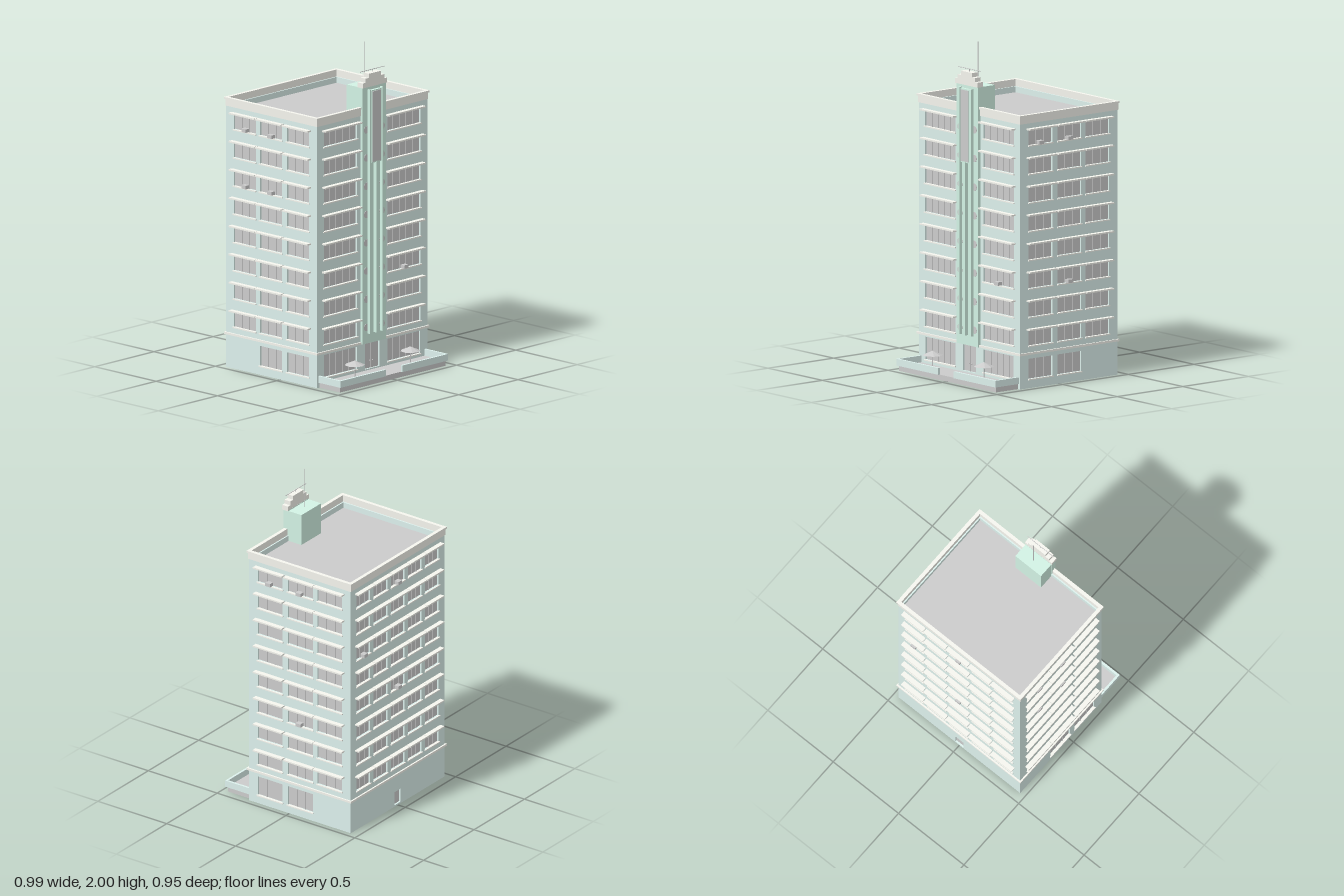
import * as THREE from 'three';

const mat = (color) => new THREE.MeshStandardMaterial({ color });
const grey = mat(0xcccccc);
const wallMat = mat(0xdcf0ec);
const towerMat = mat(0xd2f2e4);
const trimMat = mat(0xf5f5ee);

const W = 0.93, Z0 = -0.445, Z1 = 0.295, H = 1.59, T = 0.02;
const ZC = (Z0 + Z1) / 2, D = Z1 - Z0;
const FLOORS = 8, PITCH = 0.1707, TOP = 1.545;

function add(parent, name, geometry, material, x = 0, y = 0, z = 0) {
  const mesh = new THREE.Mesh(geometry, material);
  mesh.name = name;
  mesh.position.set(x, y, z);
  parent.add(mesh);
  return mesh;
}

// Box given by its min and max on each axis
function box(parent, name, x0, x1, y0, y1, z0, z1, material) {
  return add(parent, name, new THREE.BoxGeometry(x1 - x0, y1 - y0, z1 - z0), material,
    (x0 + x1) / 2, (y0 + y1) / 2, (z0 + z1) / 2);
}

function rectPath(path, x0, x1, y0, y1) {
  path.moveTo(x0, y0);
  path.lineTo(x1, y0);
  path.lineTo(x1, y1);
  path.lineTo(x0, y1);
  path.closePath();
  return path;
}

// Horizontal rectangular ring around the building, from y0 to y1
function ring(parent, name, out, inn, y0, y1, material) {
  const rect = (p, o) => rectPath(p, -W / 2 - o, W / 2 + o, -D / 2 - o, D / 2 + o);
  const shape = rect(new THREE.Shape(), out);
  shape.holes.push(rect(new THREE.Path(), inn));
  const g = new THREE.ExtrudeGeometry(shape, { depth: y1 - y0, bevelEnabled: false });
  g.rotateX(-Math.PI / 2);
  add(parent, name, g, material, 0, y0, ZC);
}

// One wall with outer face at local z = 0; columns of windows [centre, width] on all upper floors
function facade(parent, name, width, columns, ground, panes, units) {
  const wall = new THREE.Group();
  wall.name = name;
  parent.add(wall);
  const shape = rectPath(new THREE.Shape(), -width / 2, width / 2, 0, H);
  const opening = (x0, x1, y0, y1, n, label) => {
    shape.holes.push(rectPath(new THREE.Path(), x0, x1, y0, y1));
    box(wall, label, x0, x1, y0, y1, -0.016, -0.011, grey);
    for (let k = 1; k < n; k++) {
      const x = x0 + (x1 - x0) * k / n;
      box(wall, 'mullion', x - 0.002, x + 0.002, y0, y1, -0.011, -0.007, grey);
    }
  };
  for (let f = 0; f < FLOORS; f++) {
    const y = TOP - f * PITCH;
    for (const [c, w] of columns) {
      const a = c - w / 2, b = c + w / 2;
      opening(a, b, y - 0.097, y - 0.008, panes, 'window');
      box(wall, 'sunLedge', a - 0.015, b + 0.015, y - 0.004, y + 0.005, -0.005, 0.03, trimMat);
      box(wall, 'windowSill', a - 0.005, b + 0.005, y - 0.104, y - 0.097, -0.01, 0.008, trimMat);
    }
  }
  for (const [a, b, y0, y1, n, label] of ground) {
    opening(a, b, y0, y1, n, label);
    if (label === 'shopWindow') box(wall, 'shopSill', a - 0.005, b + 0.005, y0 - 0.007, y0, -0.01, 0.008, trimMat);
  }
  // Air conditioners: [x, floor counted from the top]
  for (const [x, f] of units) {
    const y = TOP - f * PITCH - 0.097;
    box(wall, 'airConditioner', x - 0.018, x + 0.018, y, y + 0.021, -0.012, 0.02, grey);
  }
  add(wall, 'wallPanel', new THREE.ExtrudeGeometry(shape, { depth: T, bevelEnabled: false }), wallMat, 0, 0, -T);
  return wall;
}

function buildWalls(root) {
  const front = facade(root, 'frontWall', W, [[-0.268, 0.28], [0.268, 0.28]], [
    [-0.405, -0.13, 0.055, 0.19, 5, 'shopWindow'],
    [0.13, 0.405, 0.055, 0.19, 5, 'shopWindow'],
    [-0.06, 0.06, 0.04, 0.195, 2, 'frontDoor'],
  ], 5, [[0.268, 5]]);
  front.position.z = Z1;
  const knob = new THREE.SphereGeometry(0.004, 8, 6);
  for (const s of [-1, 1]) add(front, 'doorKnob', knob, grey, s * 0.012, 0.085, -0.008);

  const back = facade(root, 'backWall', W, [-2, -1, 0, 1, 2].map((i) => [i * 0.17, 0.135]),
    [[-0.03, 0.03, 0.01, 0.095, 1, 'backDoor']], 3, [[0, 0], [-0.34, 2], [0, 4]]);
  back.position.z = Z0;
  back.rotation.y = Math.PI;

  for (const s of [1, -1]) {
    const local = (z) => -s * (z - ZC);
    const cols = [0.14, -0.08, -0.293].map((z) => [local(z), 0.18]);
    const ground = cols.slice(0, 2).map(([c, w]) => [c - w / 2, c + w / 2, 0.055, 0.175, 3, 'shopWindow']);
    const units = s > 0
      ? [[local(0.145), 0], [local(-0.075), 0], [local(-0.075), 5]]
      : [[local(-0.285), 0], [local(-0.075), 0], [local(-0.285), 2], [local(-0.075), 2]];
    const side = facade(root, s > 0 ? 'leftWall' : 'rightWall', D - 2 * T, cols, ground, 3, units);
    side.position.set(s * W / 2, 0, ZC);
    side.rotation.y = s * Math.PI / 2;
  }
}

function buildRoof(root) {
  box(root, 'roof', -W / 2 + 0.01, W / 2 - 0.01, 1.54, 1.555, Z0 + 0.01, Z1 - 0.01, grey);
  ring(root, 'parapet', 0.004, -0.012, 1.58, 1.62, trimMat);
  ring(root, 'parapetCap', 0.01, -0.012, 1.62, 1.632, trimMat);
  ring(root, 'stringCourse', 0.01, -0.01, 0.2, 0.213, trimMat);
  box(root, 'penthouse', -0.098, 0.098, 1.55, 1.75, 0.182, 0.275, towerMat);
}

function buildTower(root) {
  const tower = new THREE.Group();
  tower.name = 'centralTower';
  root.add(tower);
  box(tower, 'towerSlab', -0.1, 0.1, 0.2, 1.755, 0.275, 0.312, towerMat);
  for (const s of [-1, 1]) {
    box(tower, 'towerFin', s * 0.052 - 0.005, s * 0.052 + 0.005, 0.26, 1.735, 0.31, 0.332, towerMat);
  }
  box(tower, 'centreFin', -0.005, 0.005, 0.26, 1.3, 0.31, 0.335, towerMat);
  box(tower, 'blankPanel', -0.042, 0.042, 1.29, 1.73, 0.31, 0.33, towerMat);
  box(tower, 'panelInset', -0.035, 0.035, 1.297, 1.723, 0.328, 0.335, grey);

  // Round portholes beside the fins
  const disc = new THREE.CylinderGeometry(0.022, 0.022, 0.006, 20).rotateX(Math.PI / 2);
  for (let f = 0; f < FLOORS; f++) {
    for (const s of [-1, 1]) add(tower, 'porthole', disc, grey, s * 0.066, 1.493 - f * PITCH, 0.3105);
  }

  // Stepped crown
  [[0.103, 1.75, 1.78], [0.08, 1.78, 1.805], [0.052, 1.805, 1.83]].forEach(([r, a, b]) =>
    box(tower, 'crownStep', -r, r, a, b, 0.276, 0.318, trimMat));

  // Mast and crossbar
  add(tower, 'mast', new THREE.CylinderGeometry(0.002, 0.002, 0.25, 6), grey, 0, 1.875, 0.23);
  const bar = new THREE.CylinderGeometry(0.002, 0.002, 0.206, 6).rotateZ(Math.PI / 2);
  add(tower, 'crossbar', bar, grey, 0, 1.845, 0.295);
  add(tower, 'crossbarPost', new THREE.CylinderGeometry(0.002, 0.002, 0.02, 6), grey, 0, 1.837, 0.295);
}

function buildTerrace(root) {
  const terrace = new THREE.Group();
  terrace.name = 'terrace';
  root.add(terrace);
  box(terrace, 'terraceFloor', -0.445, 0.445, 0, 0.032, Z1 - 0.01, 0.463, grey);
  for (const s of [-1, 1]) {
    const span = (name, a, b, ...rest) =>
      box(terrace, name, Math.min(s * a, s * b), Math.max(s * a, s * b), ...rest);
    span('terraceSideWall', 0.441, 0.455, 0.032, 0.072, Z1, 0.475, wallMat);
    span('terraceFrontWall', 0.07, 0.455, 0.032, 0.072, 0.461, 0.475, wallMat);

    // Parasol
    const x = s * 0.235, z = 0.38;
    const canopy = mat(0xcccccc);
    canopy.flatShading = true;
    canopy.side = THREE.DoubleSide;
    const cone = new THREE.ConeGeometry(0.06, 0.026, 8, 1, true).rotateY(Math.PI / 16);
    add(terrace, 'parasolCanopy', cone, canopy, x, 0.128, z);
    add(terrace, 'parasolPole', new THREE.CylinderGeometry(0.003, 0.003, 0.1, 8), grey, x, 0.082, z);
  }
}

export function createModel() {
  const root = new THREE.Group();
  root.name = 'officeTower';
  buildWalls(root);
  buildRoof(root);
  buildTower(root);
  buildTerrace(root);
  return root;
}
